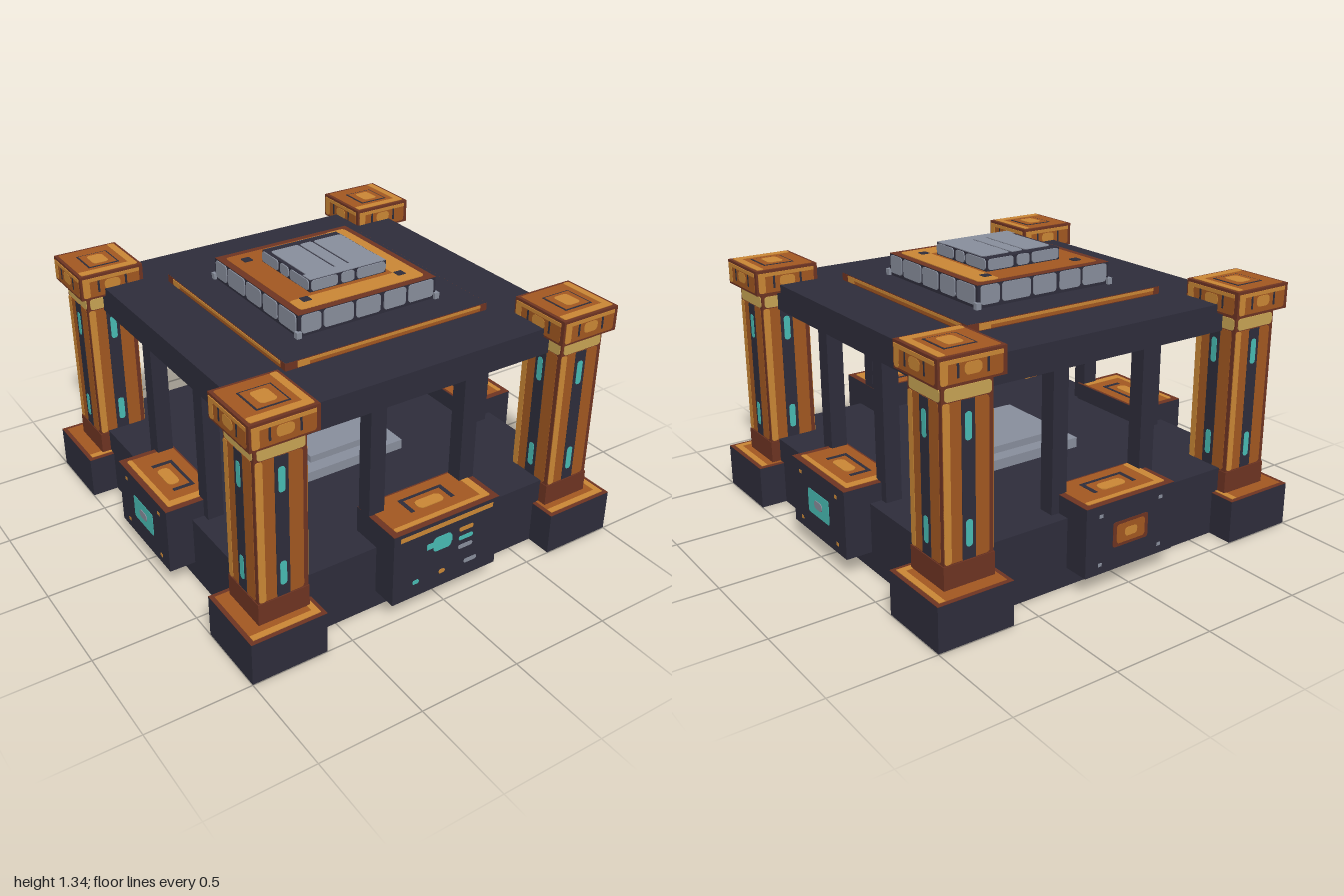
import * as THREE from 'three';

const material = (name, color) => new THREE.MeshStandardMaterial({ name, color });
const dark = material('dark metal', 0x2e2d3b);
const brown = material('rust brown', 0x6e3422);
const orange = material('copper orange', 0xa25821);
const gold = material('gold', 0xca8735);
const tan = material('pale gold', 0xc8a454);
const cyan = material('cyan glow', 0x48bcb4);
const grey = material('steel grey', 0x888e9c);

function group(parent, name, x = 0, y = 0, z = 0) {
  const g = new THREE.Group();
  g.name = name;
  g.position.set(x, y, z);
  parent.add(g);
  return g;
}

// Box given by its size, centre x and z, and bottom height
function box(parent, name, mat, w, h, d, x, y, z) {
  const m = new THREE.Mesh(new THREE.BoxGeometry(w, h, d), mat);
  m.name = name;
  m.position.set(x, y + h / 2, z);
  parent.add(m);
  return m;
}

// Thin plate on a face, from (x0,y0) to (x1,y1), with rounded corners; layer sets its height
function plate(face, name, mat, x0, y0, x1, y1, layer = 1, r = 0) {
  const s = new THREE.Shape();
  if (r) {
    s.absarc(x1 - r, y1 - r, r, 0, Math.PI / 2);
    s.absarc(x0 + r, y1 - r, r, Math.PI / 2, Math.PI);
    s.absarc(x0 + r, y0 + r, r, Math.PI, Math.PI * 1.5);
    s.absarc(x1 - r, y0 + r, r, Math.PI * 1.5, Math.PI * 2);
  } else {
    s.moveTo(x0, y0).lineTo(x1, y0).lineTo(x1, y1).lineTo(x0, y1);
  }
  const m = new THREE.Mesh(
    new THREE.ExtrudeGeometry(s, { depth: 0.0018 * layer, bevelEnabled: false, curveSegments: 3 }), mat);
  m.name = name;
  face.add(m);
}

// Runs draw(face) on each of the four sides of a square block
function fourSides(parent, half, draw) {
  for (let i = 0; i < 4; i++) {
    const turn = group(parent, 'side');
    turn.rotation.y = i * Math.PI / 2;
    draw(group(turn, 'face', 0, 0, half));
  }
}

function topFace(parent, x, y, z) {
  const f = group(parent, 'topFace', x, y, z);
  f.rotation.x = -Math.PI / 2;
  return f;
}

// Corner column with foot, shaft, lights and cap
function column(parent, sx, sz) {
  const g = group(parent, 'cornerColumn');
  const c = 0.79;
  box(g, 'foot', dark, 0.37, 0.21, 0.37, sx * 0.815, 0, sz * 0.815);
  const foot = topFace(g, sx * 0.815, 0.21, sz * 0.815);
  plate(foot, 'footTop', brown, -0.185, -0.185, 0.185, 0.185, 1);
  plate(foot, 'footPanel', orange, -0.165, -0.165, 0.165, 0.165, 2);
  plate(foot, 'footEdge', gold, -0.165, -0.165, 0.165, -0.135, 3);
  plate(foot, 'footEdge', gold, 0.135, -0.165, 0.165, 0.165, 3);

  const s = group(g, 'shaft', sx * c, 0, sz * c);
  box(s, 'columnBase', brown, 0.25, 0.11, 0.25, 0, 0.21, 0);
  box(s, 'columnShaft', brown, 0.242, 0.77, 0.242, 0, 0.32, 0);
  fourSides(s, 0.121, f => {
    plate(f, 'shaftPanel', orange, -0.118, 0.325, 0.1, 1.01, 1, 0.015);
    plate(f, 'shaftEdge', gold, -0.118, 0.325, -0.085, 1.01, 2, 0.012);
    plate(f, 'shaftBand', tan, -0.108, 1.015, 0.112, 1.07, 2, 0.015);
    plate(f, 'shaftChannel', dark, -0.032, 0.325, 0.032, 1.01, 2);
    for (const y of [0.38, 0.84])
      plate(f, 'shaftLight', cyan, -0.016, y, 0.016, y + 0.12, 3, 0.014);
  });

  box(s, 'cap', brown, 0.32, 0.12, 0.32, 0, 1.09, 0);
  fourSides(s, 0.16, f => {
    plate(f, 'capPanel', orange, -0.15, 1.1, 0.14, 1.195, 1, 0.012);
    plate(f, 'capEdge', gold, -0.15, 1.1, -0.115, 1.195, 2, 0.012);
    plate(f, 'capEdge', gold, -0.15, 1.18, 0.14, 1.197, 2);
    for (const x of [-0.075, 0.065])
      plate(f, 'capBracket', dark, x, 1.12, x + 0.01, 1.18, 2);
    plate(f, 'capStud', gold, -0.04, 1.125, 0.04, 1.175, 2, 0.02);
  });
  const t = topFace(s, 0, 1.21, 0);
  plate(t, 'capTop', orange, -0.145, -0.145, 0.145, 0.145, 1, 0.01);
  plate(t, 'capTopEdge', gold, 0.11, -0.145, 0.145, 0.145, 2, 0.01);
  plate(t, 'capTopEdge', gold, -0.145, -0.145, 0.145, -0.105, 2, 0.01);
  plate(t, 'capSquare', dark, -0.078, -0.078, 0.078, 0.078, 2);
  plate(t, 'capSquareFill', orange, -0.07, -0.07, 0.07, 0.07, 3);
  plate(t, 'capStud', gold, -0.04, -0.05, 0.04, 0.05, 4, 0.02);
}

// Console on one side, with a painted top; front returned for its details
function consoleBox(parent, name, half, top, angle) {
  const g = group(parent, name);
  g.rotation.y = angle;
  box(g, 'consoleBody', dark, half * 2, top - 0.09, 0.28, 0, 0.09, 0.858);
  const t = topFace(g, 0, top, 0.86);
  plate(t, 'consoleTop', brown, -half, -0.138, half, 0.14, 1);
  plate(t, 'consoleTopPanel', orange, -half + 0.03, -0.11, half - 0.03, 0.13, 2, 0.012);
  plate(t, 'consoleTopEdge', gold, half - 0.07, -0.11, half - 0.03, 0.13, 3, 0.01);
  plate(t, 'consoleTopEdge', gold, -half + 0.03, -0.11, half - 0.03, -0.085, 3, 0.01);
  for (const x of [-0.12, 0.1]) plate(t, 'consoleBracket', dark, x, -0.03, x + 0.02, 0.07, 3);
  plate(t, 'consoleBracket', dark, -0.12, 0.06, 0.12, 0.075, 3);
  plate(t, 'consoleStud', gold, -0.07, -0.03, 0.07, 0.03, 4, 0.025);
  return group(g, 'consoleFront', 0, 0, 0.998);
}

export function createModel() {
  const model = new THREE.Group();
  model.name = 'pavilion';

  // Base slab with bolts underneath
  box(model, 'baseSlab', dark, 1.74, 0.33, 1.74, 0, 0, 0);
  for (const x of [-0.6, 0.6]) for (const z of [-0.6, 0.6]) {
    const bolt = new THREE.Mesh(new THREE.CylinderGeometry(0.023, 0.023, 0.008, 8), grey);
    bolt.name = 'underBolt';
    bolt.position.set(x, 0.002, z);
    model.add(bolt);
  }
  for (const x of [-1, 1]) for (const z of [-1, 1]) column(model, x, z);

  // Front control console
  const front = consoleBox(model, 'frontConsole', 0.29, 0.457, 0);
  plate(front, 'trim', gold, -0.255, 0.415, 0.255, 0.438, 1);
  plate(front, 'display', cyan, -0.075, 0.295, 0.025, 0.37, 1, 0.02);
  plate(front, 'display', cyan, -0.11, 0.32, 0.03, 0.35, 1);
  [gold, cyan, grey].forEach((m, i) =>
    plate(front, 'button', m, 0.068, 0.348 - i * 0.048, 0.148, 0.37 - i * 0.048, 1, 0.01));
  plate(front, 'lamp', cyan, -0.183, 0.16, -0.148, 0.182, 1, 0.01);
  plate(front, 'lamp', gold, -0.037, 0.16, -0.003, 0.182, 1, 0.01);
  plate(front, 'lamp', grey, 0.105, 0.16, 0.178, 0.182, 1, 0.01);

  // Side and back consoles with screens
  for (const i of [1, 2, 3]) {
    const back = i === 2;
    const f = consoleBox(model, back ? 'backConsole' : 'sideConsole', 0.25, 0.417, i * Math.PI / 2);
    plate(f, 'screen', back ? brown : cyan, -0.1, 0.195, 0.1, 0.315, 1, 0.012);
    if (back) plate(f, 'screenPanel', orange, -0.08, 0.21, 0.08, 0.3, 2, 0.015);
    plate(f, 'screenCentre', back ? gold : grey, -0.035, 0.235, 0.035, 0.275, 3, 0.015);
    for (const x of [-0.17, 0.17]) for (const y of [0.135, 0.367])
      plate(f, 'bolt', back ? grey : gold, x - 0.01, y - 0.008, x + 0.01, y + 0.008, 1);
  }

  // Slim posts behind each console
  fourSides(model, 0.77, f => {
    for (const x of [-0.25, 0.25]) box(f, 'post', dark, 0.08, 0.7, 0.08, x, 0.32, 0);
  });

  // Steel plinth on the floor and lamp under the ceiling
  box(model, 'plinth', grey, 0.56, 0.05, 0.56, 0, 0.33, 0);
  box(model, 'plinthTop', grey, 0.42, 0.035, 0.42, 0, 0.38, 0);
  box(model, 'ceilingPlate', grey, 0.42, 0.02, 0.42, 0, 0.982, 0);

  // Roof slab and trimmed step
  box(model, 'roof', dark, 1.66, 0.13, 1.66, 0, 1.0, 0);
  box(model, 'roofStep', dark, 1.076, 0.037, 1.076, 0, 1.13, 0);
  fourSides(model, 0.538, f => {
    plate(f, 'stepTrim', brown, -0.538, 1.13, 0.538, 1.166, 1);
    plate(f, 'stepTrimPanel', orange, -0.48, 1.134, 0.5, 1.163, 2);
    plate(f, 'stepTrimEdge', gold, -0.48, 1.15, 0.5, 1.163, 3);
    plate(f, 'stepTrimEdge', gold, -0.48, 1.134, -0.42, 1.163, 3);
  });

  // Two stacked tiers faced with steel blocks
  const tier = (name, half, y, h, spans) => {
    box(model, name, dark, half * 2, h, half * 2, 0, y, 0);
    fourSides(model, half, f => spans.forEach(([a, b]) =>
      plate(f, 'steelBlock', grey, a, y + h * 0.15, b, y + h * 0.97, 3, 0.015)));
  };
  tier('lowerTier', 0.37, 1.167, 0.105,
    [[-0.355, -0.255], [-0.24, -0.085], [-0.07, 0.06], [0.08, 0.2], [0.215, 0.355]]);
  tier('upperTier', 0.206, 1.272, 0.062, [[-0.2, -0.06], [-0.04, 0.03], [0.045, 0.2]]);

  const top = topFace(model, 0, 1.272, 0);
  plate(top, 'tierTop', brown, -0.37, -0.37, 0.37, 0.37, 1);
  plate(top, 'tierTopPanel', orange, -0.335, -0.335, 0.335, 0.335, 2, 0.02);
  plate(top, 'tierTopEdge', gold, 0.225, -0.335, 0.335, 0.335, 3, 0.02);
  plate(top, 'tierTopEdge', gold, -0.335, -0.335, 0.335, -0.235, 3, 0.02);
  for (const x of [-0.26, 0.25]) for (const y of [-0.255, 0.26])
    plate(top, 'socket', dark, x - 0.022, y - 0.022, x + 0.022, y + 0.022, 4, 0.006);
  for (const x of [-0.372, 0.372]) for (const z of [-0.372, 0.372])
    box(model, 'cornerBolt', grey, 0.025, 0.03, 0.025, x, 1.167, z);

  // Ribbed steel cover on the summit
  const summit = topFace(model, 0, 1.334, 0);
  for (const [a, b] of [[-0.188, -0.04], [-0.03, 0.036], [0.046, 0.2]])
    plate(summit, 'coverRib', grey, a, -0.2, b, 0.162, 2, 0.015);
  plate(summit, 'coverEdge', grey, -0.205, -0.205, 0.205, -0.145, 2);

  return model;
}
